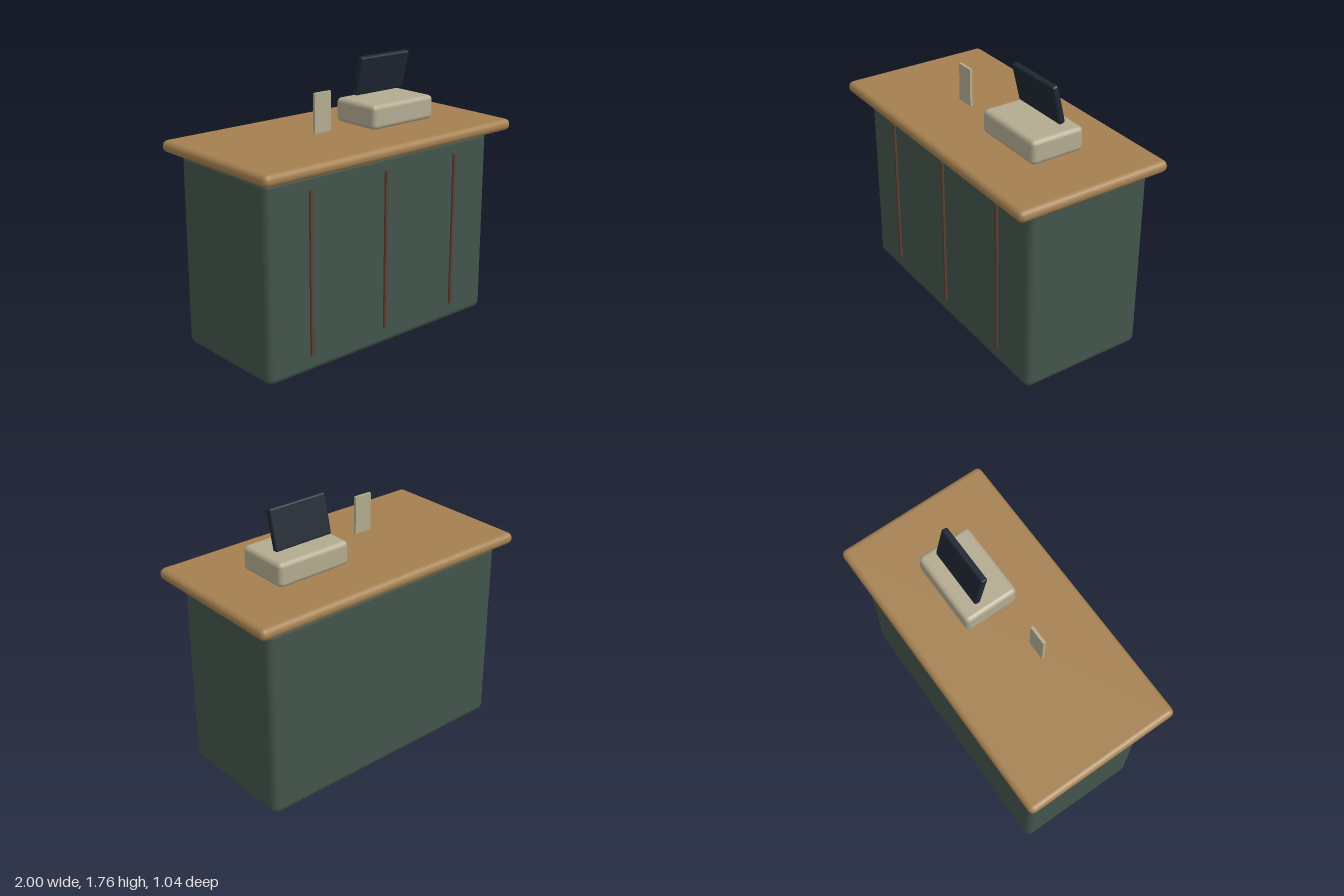
import * as THREE from 'three';
import { RoundedBoxGeometry } from 'three/addons/geometries/RoundedBoxGeometry.js';

const paint = (color) => new THREE.MeshStandardMaterial({ color });

export function createModel() {
  const group = new THREE.Group();
  const green = paint(0x42544b);
  const wood = paint(0xa58050);
  const brown = paint(0x5a4032);
  const cream = paint(0xb3aa90);
  const dark = paint(0x1f2732);

  // Box centred at pos; a radius gives it rounded edges
  function block(name, size, pos, material, radius = 0) {
    const geometry = radius
      ? new RoundedBoxGeometry(...size, 2, radius)
      : new THREE.BoxGeometry(...size);
    const mesh = new THREE.Mesh(geometry, material);
    mesh.name = name;
    mesh.position.set(...pos);
    group.add(mesh);
    return mesh;
  }

  // Counter body and overhanging top
  block('cabinet', [1.82, 1.25, 0.842], [0, 0.625, -0.026], green, 0.045);
  block('countertop', [2, 0.075, 1.038], [0, 1.294, 0], wood, 0.035);

  // Vertical strips on the front
  for (const x of [-0.593, 0, 0.593]) {
    block('frontStrip', [0.02, 1.03, 0.02], [x, 0.633, 0.399], brown);
  }

  // Till with a tilted screen above it
  block('till', [0.52, 0.156, 0.363], [0.364, 1.409, -0.006], cream, 0.03);
  const screen = block('screen', [0.41, 0.255, 0.042], [0.364, 1.636, -0.043], dark, 0.012);
  screen.rotation.x = 0.235;

  // Upright card over the counter
  block('card', [0.124, 0.247, 0.018], [-0.232, 1.488, 0.076], cream);

  return group;
}
